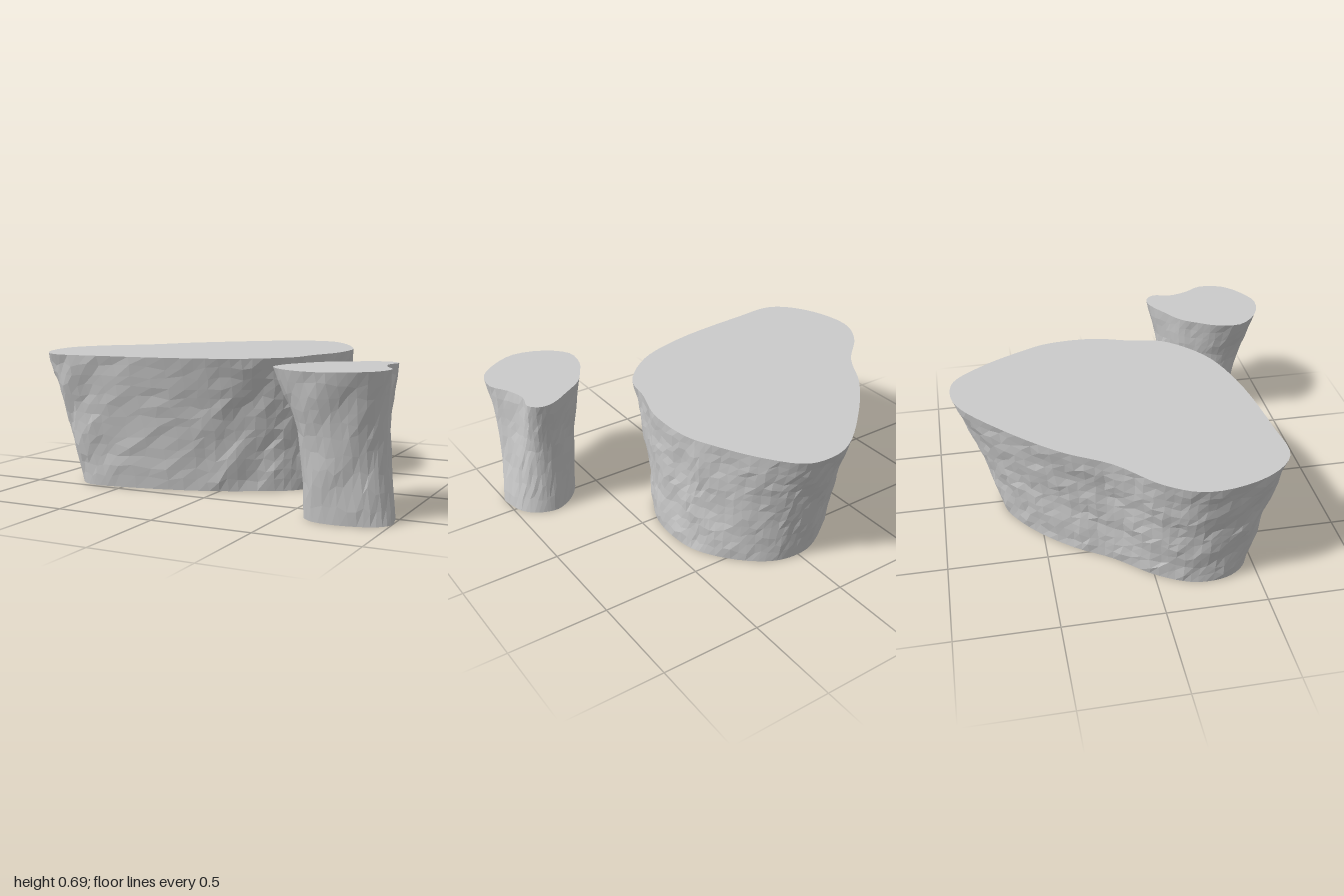
import * as THREE from 'three';

const HEIGHT = 0.69;

// Outlines as [x, z] pairs, counter-clockwise from above; the outlines of a rock match point by point
const LARGE = [
  { y: 0, points: [[.43, -.1], [.42, -.3], [.37, -.42], [.25, -.57], [.12, -.66], [0, -.68], [-.1, -.66],
    [-.28, -.54], [-.45, -.36], [-.57, -.18], [-.74, .02], [-.82, .2], [-.8, .37], [-.7, .47], [-.5, .46],
    [-.1, .37], [.13, .27], [.32, .16], [.4, .03]] },
  { y: 0.36, points: [[.44, -.1], [.425, -.32], [.38, -.45], [.26, -.63], [.12, -.75], [0, -.775], [-.11, -.74],
    [-.32, -.59], [-.5, -.38], [-.64, -.18], [-.82, .01], [-.9, .19], [-.86, .42], [-.75, .53], [-.52, .53],
    [-.1, .45], [.15, .35], [.34, .2], [.4, .05]] },
  { y: HEIGHT, points: [[.465, -.11], [.455, -.36], [.4, -.5], [.28, -.72], [.14, -.88], [0, -.9], [-.12, -.86],
    [-.36, -.66], [-.58, -.42], [-.72, -.2], [-.92, 0], [-1, .18], [-.94, .46], [-.8, .61], [-.55, .605],
    [-.1, .55], [.18, .45], [.37, .26], [.405, .1]] },
];
const SMALL = [
  { y: 0, points: [[1, .62], [.99, .54], [.97, .47], [.92, .41], [.86, .38], [.8, .37], [.73, .4], [.67, .45],
    [.62, .52], [.59, .6], [.6, .66], [.66, .71], [.76, .725], [.87, .71], [.95, .68]] },
  { y: 0.4, points: [[.97, .63], [.95, .54], [.93, .45], [.91, .39], [.86, .35], [.8, .345], [.72, .38], [.65, .43],
    [.6, .51], [.575, .6], [.58, .69], [.64, .78], [.75, .81], [.86, .78], [.94, .71]] },
  { y: HEIGHT, points: [[.995, .63], [.94, .53], [.91, .42], [.93, .33], [.88, .28], [.81, .285], [.7, .35], [.6, .42],
    [.54, .51], [.49, .61], [.48, .74], [.58, .85], [.74, .9], [.87, .85], [.97, .76]] },
];

function seeded(seed) {
  return () => {
    seed = (seed * 16807) % 2147483647;
    return seed / 2147483647 - 0.5;
  };
}

function ring({ y, points }, n) {
  const curve = new THREE.CatmullRomCurve3(points.map(([x, z]) => new THREE.Vector3(x, y, z)), true);
  return Array.from({ length: n }, (_, i) => curve.getPoint(i / n));
}

// Rough wall lofted through the outlines, from the base to the top
function wallGeometry(rings, rows, rough, seed) {
  const n = rings[0].length, rand = seeded(seed), positions = [], index = [];
  const columns = rings[0].map((_, i) => new THREE.CatmullRomCurve3(rings.map(r => r[i])));
  const top = rings[rings.length - 1];
  for (let j = 0; j <= rows; j++) {
    for (let i = 0; i < n; i++) {
      const inner = j > 0 && j < rows;
      const p = columns[i].getPoint((j + (inner ? rand() * 0.5 : 0)) / rows);
      if (inner) {
        // Slanting strata plus fine chipping, pushed along the outward direction
        const along = top[(i + 1) % n].clone().sub(top[(i + n - 1) % n]);
        p.addScaledVector(along, rand() * 0.15);
        along.normalize();
        const strata = Math.sin(p.x * 24 + p.z * 9 - p.y * 20) + Math.sin(p.x * 15 - p.z * 33 - p.y * 11);
        const push = rough * (strata * 0.5 + rand());
        p.x -= along.z * push;
        p.z += along.x * push;
      }
      positions.push(p.x, p.y, p.z);
      if (j < rows) {
        const a = j * n + i, b = j * n + (i + 1) % n;
        index.push(a, b, b + n, a, b + n, a + n);
      }
    }
  }
  const geometry = new THREE.BufferGeometry();
  geometry.setAttribute('position', new THREE.Float32BufferAttribute(positions, 3));
  geometry.setIndex(index);
  geometry.computeVertexNormals();
  return geometry;
}

// Flat cap filling an outline, facing up (+1) or down (-1)
function capGeometry(points, facing) {
  const shape = new THREE.Shape(points.map(p => new THREE.Vector2(p.x, -facing * p.z)));
  return new THREE.ShapeGeometry(shape).rotateX(-facing * Math.PI / 2).translate(0, points[0].y, 0);
}

function createRock(name, outlines, { segments, rows, rough, seed }) {
  const material = new THREE.MeshStandardMaterial({ color: 0xcccccc, flatShading: true });
  const rings = outlines.map(outline => ring(outline, segments));
  const rock = new THREE.Group();
  rock.name = name;
  const add = (part, geometry) => {
    const mesh = new THREE.Mesh(geometry, material);
    mesh.name = part;
    rock.add(mesh);
  };
  add('rockWall', wallGeometry(rings, rows, rough, seed));
  add('flatTop', capGeometry(rings[rings.length - 1], 1));
  add('flatBase', capGeometry(rings[0], -1));
  return rock;
}

export function createModel() {
  const model = new THREE.Group();
  model.name = 'rockPlatforms';
  model.add(
    createRock('largeRock', LARGE, { segments: 95, rows: 13, rough: 0.007, seed: 71 }),
    createRock('smallRock', SMALL, { segments: 45, rows: 10, rough: 0.004, seed: 29 })
  );
  return model;
}
